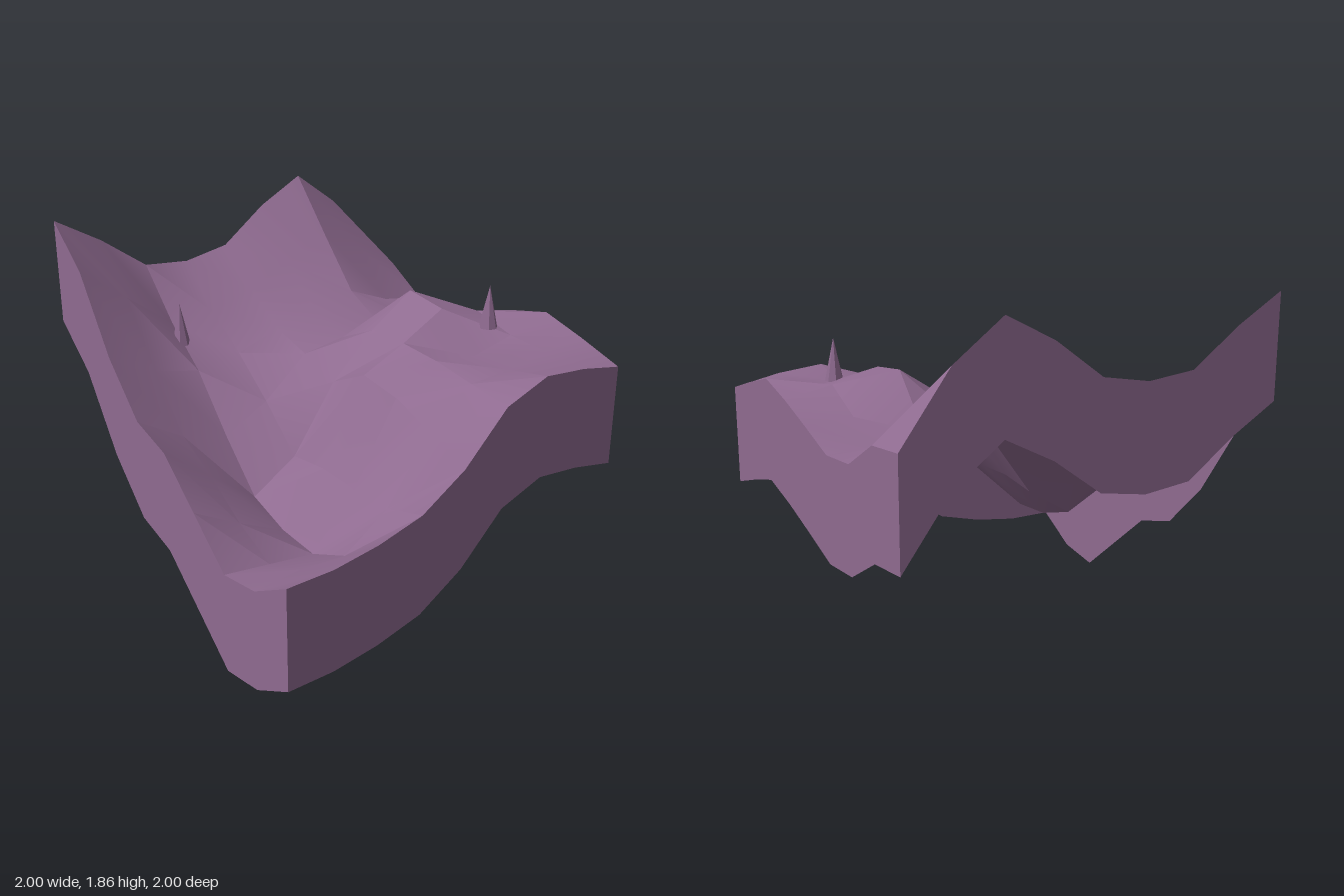
import * as THREE from 'three';
import { toCreasedNormals } from 'three/addons/utils/BufferGeometryUtils.js';

// Ground heights: rows run from back (z = -1) to front (z = 1), columns from x = -1 to x = 1
const HEIGHTS = [
  [1.34, 1.315, 1.17, 1.15, 1.23, 1.305, 1.365, 1.30, 1.225],
  [1.675, 1.45, 1.21, 1.155, 1.245, 1.355, 1.295, 1.285, 1.275],
  [1.86, 1.58, 1.31, 1.19, 1.45, 1.42, 1.24, 1.25, 1.30],
  [1.73, 1.46, 1.25, 1.17, 1.285, 1.29, 1.275, 1.24, 1.21],
  [1.545, 1.36, 1.20, 1.135, 1.06, 1.18, 1.145, 1.06, 0.965],
  [1.50, 1.28, 1.12, 0.93, 0.71, 0.74, 0.73, 0.735, 0.81],
  [1.525, 1.27, 1.08, 0.80, 0.555, 0.477, 0.46, 0.57, 0.745],
  [1.705, 1.46, 1.14, 0.87, 0.75, 0.60, 0.495, 0.59, 0.71],
  [1.85, 1.645, 1.272, 1.02, 0.95, 0.74, 0.53, 0.57, 0.71],
];
const CELLS = 8;
const SKIRT_DROP = 0.53;

const gridPoint = (col, row) =>
  new THREE.Vector3(-1 + (2 * col) / CELLS, HEIGHTS[row][col], -1 + (2 * row) / CELLS);

// Hilly top surface: a plane whose vertices are lifted to the height grid
function terrainGeometry() {
  const geo = new THREE.PlaneGeometry(2, 2, CELLS, CELLS).rotateX(-Math.PI / 2);
  const pos = geo.attributes.position;
  for (let i = 0; i < pos.count; i++) {
    pos.setY(i, HEIGHTS[Math.floor(i / (CELLS + 1))][i % (CELLS + 1)]);
  }
  return toCreasedNormals(geo, 0.45);
}

// One wall hanging below a border of the terrain
function skirtGeometry(border) {
  const verts = [];
  for (let i = 0; i < CELLS; i++) {
    const a = border(i);
    const b = border(i + 1);
    const aLow = a.clone().setY(a.y - SKIRT_DROP);
    const bLow = b.clone().setY(b.y - SKIRT_DROP);
    for (const p of [a, aLow, bLow, a, bLow, b]) verts.push(p.x, p.y, p.z);
  }
  const geo = new THREE.BufferGeometry();
  geo.setAttribute('position', new THREE.Float32BufferAttribute(verts, 3));
  geo.computeVertexNormals();
  return geo;
}

export function createModel() {
  const group = new THREE.Group();
  group.name = 'terrainTile';

  const purple = new THREE.MeshStandardMaterial({ color: 0x8f6b90, side: THREE.DoubleSide });
  purple.name = 'dusty purple';

  const add = (name, geo) => {
    const mesh = new THREE.Mesh(geo, purple);
    mesh.name = name;
    group.add(mesh);
    return mesh;
  };

  add('terrain', terrainGeometry());

  // Four walls, walked so that each faces outward; the underside stays open
  const borders = {
    frontSkirt: (i) => gridPoint(i, CELLS),
    rightSideSkirt: (i) => gridPoint(CELLS, CELLS - i),
    backSkirt: (i) => gridPoint(CELLS - i, 0),
    leftSideSkirt: (i) => gridPoint(0, i),
  };
  for (const [name, border] of Object.entries(borders)) add(name, skirtGeometry(border));

  // Small faceted spikes standing on the slopes
  const spikes = [
    [0.42, 1.335, -0.665],
    [-0.665, 1.18, 0.5],
  ];
  spikes.forEach(([x, y, z], i) => {
    const height = 0.22;
    const geo = toCreasedNormals(new THREE.ConeGeometry(0.048, height, 7), 0.3);
    add('spike' + (i + 1), geo).position.set(x, y + height / 2, z);
  });

  return group;
}
